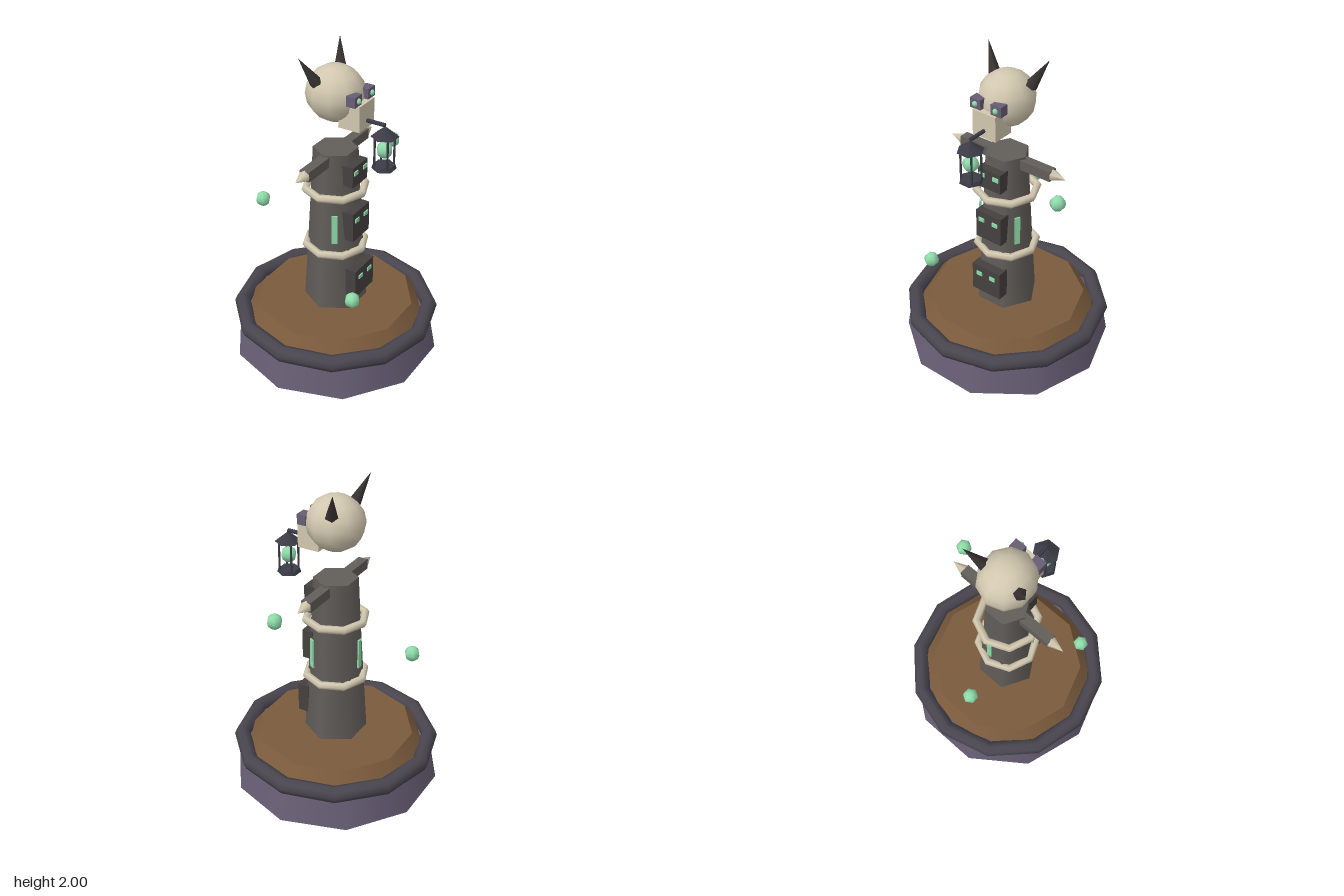
import * as THREE from 'three';

const mat = (color) => new THREE.MeshStandardMaterial({ color });

export function createModel() {
  const group = new THREE.Group();
  const purple = mat(0x685e75), iron = mat(0x48454e), soil = mat(0x7a5a3c);
  const wood = mat(0x625d59), carved = mat(0x45413f), bone = mat(0xd2c8b0);
  const glow = mat(0x8fdcaa), horn = mat(0x3a3433), lanternIron = mat(0x3c3c47);

  const add = (name, geometry, material, x = 0, y = 0, z = 0) => {
    const mesh = new THREE.Mesh(geometry, material);
    mesh.name = name;
    mesh.position.set(x, y, z);
    group.add(mesh);
    return mesh;
  };
  const box = (w, h, d) => new THREE.BoxGeometry(w, h, d);
  // Upright frustum given by its bottom and top heights
  const drum = (name, rTop, rBottom, y0, y1, sides, material, x = 0) =>
    add(name, new THREE.CylinderGeometry(rTop, rBottom, y1 - y0, sides), material, x, (y0 + y1) / 2);
  const ring = (name, radius, tube, radial, sides, material, y) => {
    add(name, new THREE.TorusGeometry(radius, tube, radial, sides), material, 0, y).rotation.x = Math.PI / 2;
  };

  // Plinth with an iron rim and a soil bed
  drum('plinth', 0.627, 0.67, 0, 0.23, 10, purple);
  ring('plinthRim', 0.613, 0.052, 8, 12, iron, 0.235);
  drum('soilBed', 0.503, 0.58, 0.225, 0.32, 10, soil);

  // Hexagonal pole in three tapering sections
  [[0.3, 0.73, 0.2, 0.173], [0.73, 1.125, 0.173, 0.15], [1.125, 1.39, 0.15, 0.137]].forEach(
    ([y0, y1, r0, r1]) => drum('poleSection', r1, r0, y0, y1, 6, wood));
  for (const y of [0.725, 1.125]) ring('boneRing', 0.188, 0.025, 6, 8, bone, y);

  // Carved faces with glowing eyes, all on the +x side
  [
    { y: 0.522, x: 0.178, h: 0.195, w: 0.215, eyeY: 0.562 },
    { y: 0.922, x: 0.147, h: 0.195, w: 0.19, eyeY: 0.963 },
    { y: 1.26, x: 0.135, h: 0.132, w: 0.168, eyeY: 1.285 },
  ].forEach(({ y, x, h, w, eyeY }) => {
    add('carvedFace', box(0.075, h, w), carved, x, y, 0);
    for (const s of [-1, 1]) add('carvedEye', box(0.012, 0.026, 0.042), glow, x + 0.039, eyeY, s * 0.051);
  });

  // Glowing slits on three alternate sides of the pole
  for (let i = 0; i < 3; i++) {
    const a = Math.PI + (i * Math.PI * 2) / 3;
    const slit = add('glowSlit', box(0.01, 0.196, 0.034), glow, Math.cos(a) * 0.168, 0.907, Math.sin(a) * 0.168);
    slit.rotation.y = -a;
  }

  // Crossbeam with bone spikes
  add('crossbeam', box(0.064, 0.064, 0.67), wood, 0, 1.345, 0);
  for (const s of [-1, 1]) {
    const spike = add('beamSpike', new THREE.ConeGeometry(0.037, 0.095, 6), bone, 0, 1.345, s * 0.38);
    spike.rotation.x = (s * Math.PI) / 2;
  }

  // Floating skull with snout, sockets, eyes and horns
  add('skull', new THREE.SphereGeometry(1, 10, 8), bone, 0, 1.743, 0).scale.set(0.182, 0.172, 0.172);
  add('snout', box(0.142, 0.16, 0.165), bone, 0.141, 1.65, 0);
  const up = new THREE.Vector3(0, 1, 0);
  for (const s of [-1, 1]) {
    add('eyeSocket', box(0.06, 0.064, 0.074), purple, 0.167, 1.761, s * 0.073);
    add('eye', new THREE.SphereGeometry(0.018, 6, 6), glow, 0.198, 1.761, s * 0.073);
    const base = new THREE.Vector3(-0.048, 1.835, s * 0.13), tip = new THREE.Vector3(-0.107, 2, s * 0.217);
    const dir = tip.clone().sub(base);
    const h = add('horn', new THREE.ConeGeometry(0.04, dir.length(), 5), horn);
    h.position.copy(base).lerp(tip, 0.5);
    h.quaternion.setFromUnitVectors(up, dir.normalize());
  }

  // Lantern hung from a bar in the mouth
  const lx = 0.333;
  add('lanternBar', new THREE.CylinderGeometry(0.012, 0.012, 0.15, 6), lanternIron, 0.258, 1.618, 0).rotation.z = Math.PI / 2;
  drum('lanternRoof', 0, 0.083, 1.547, 1.612, 6, lanternIron, lx);
  drum('lanternFloor', 0.066, 0.074, 1.342, 1.367, 6, lanternIron, lx);
  for (const sx of [-1, 1]) for (const sz of [-1, 1]) {
    add('lanternPost', new THREE.CylinderGeometry(0.007, 0.007, 0.2, 5), lanternIron, lx + sx * 0.043, 1.455, sz * 0.04);
  }
  add('lanternFlame', new THREE.SphereGeometry(0.05, 6, 6), glow, lx, 1.46, 0);

  // Drifting orbs
  [[0.131, 1.274, -0.466], [-0.47, 0.94, 0.117], [0.336, 0.606, 0.347]].forEach(
    ([x, y, z]) => add('floatingOrb', new THREE.SphereGeometry(0.048, 6, 6), glow, x, y, z));

  return group;
}
